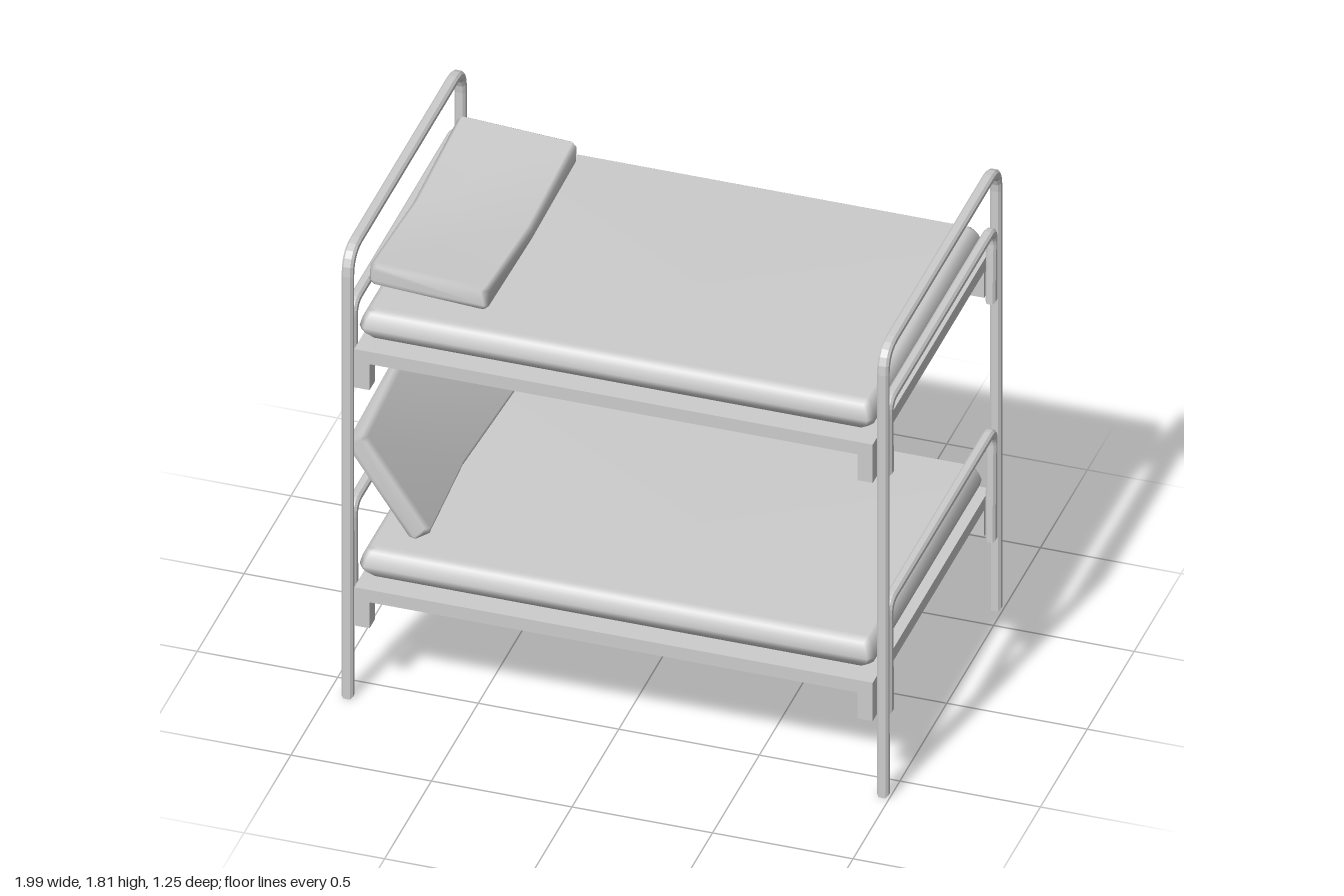
import * as THREE from 'three';

// Rectangle with cut corners, counter-clockwise, at height z
function ring(hw, hh, c, z, topDip = 0, bottomDip = 0) {
  return [
    [hw, -hh + c], [hw, hh - c], [hw - c, hh], [-hw + c, hh],
    [-hw, hh - c], [-hw, -hh + c], [-hw + c, -hh], [hw - c, -hh],
  ].map(([x, y]) => [x, y - (y > 0 ? topDip : bottomDip), z]);
}

// Smooth closed body through a series of rings running along +z
function loft(rings) {
  const n = rings[0].length, index = [], last = (rings.length - 1) * n;
  for (let i = 0; i < rings.length - 1; i++) {
    for (let j = 0; j < n; j++) {
      const a = i * n + j, b = i * n + (j + 1) % n;
      index.push(a, b, b + n, a, b + n, a + n);
    }
  }
  for (let j = 1; j < n - 1; j++) {
    index.push(0, j + 1, j, last, last + j, last + j + 1);
  }
  const g = new THREE.BufferGeometry();
  g.setAttribute('position', new THREE.Float32BufferAttribute(rings.flat(2), 3));
  g.setIndex(index);
  g.computeVertexNormals();
  return g;
}

// Upside-down U bar in the z/y plane, chamfered, centred on x = 0
function hoop(bottom, top, half, bar, footBar, radius, depth) {
  const s = new THREE.Shape(), inner = half - bar, r = radius - bar * 0.6;
  s.moveTo(half, bottom);
  s.lineTo(half, top - radius);
  s.quadraticCurveTo(half, top, half - radius, top);
  s.lineTo(-half + radius, top);
  s.quadraticCurveTo(-half, top, -half, top - radius);
  s.lineTo(-half, bottom);
  s.lineTo(-half + footBar, bottom);
  s.lineTo(-inner, top - bar - r);
  s.quadraticCurveTo(-inner, top - bar, -inner + r, top - bar);
  s.lineTo(inner - r, top - bar);
  s.quadraticCurveTo(inner, top - bar, inner, top - bar - r);
  s.lineTo(half - footBar, bottom);
  s.closePath();
  const bevel = 0.008;
  const g = new THREE.ExtrudeGeometry(s, {
    depth: depth - 2 * bevel, bevelEnabled: true, bevelSize: bevel, bevelThickness: bevel,
    bevelOffset: -bevel, bevelSegments: 1, curveSegments: 5,
  });
  g.translate(0, 0, bevel - depth / 2);
  g.rotateY(Math.PI / 2);
  return g;
}

export function createModel() {
  const model = new THREE.Group();
  model.name = 'bunkBed';
  const grey = new THREE.MeshStandardMaterial({ color: 0xcccccc });
  grey.name = 'light grey';

  function add(name, geometry, x, y, z, parent = model) {
    const mesh = new THREE.Mesh(geometry, grey);
    mesh.name = name;
    mesh.position.set(x, y, z);
    parent.add(mesh);
    return mesh;
  }

  // Tall end frames
  const ends = [-0.93, 0.975];
  for (const x of ends) add('endFrame', hoop(0, 1.81, 0.617, 0.03, 0.032, 0.1, 0.04), x, 0, 0);

  // Mattress: flat top and bottom with bulging sides
  const mattress = loft([[0, 0.03], [0.03, 0.005], [0.05, 0], [0.08, 0.008], [0.1, 0.02], [0.11, 0.035]]
    .map(([h, inset]) => ring(0.916 - inset, 0.592 - inset, 0.02, h)));
  mattress.rotateX(-Math.PI / 2);

  // Two bunks: base slab, corner brackets, low rails at both ends, mattress
  const bunks = [
    { name: 'lowerBunk', y: 0.31, railHeight: 0.46 },
    { name: 'upperBunk', y: 1.275, railHeight: 0.308 },
  ];
  for (const { name, y, railHeight } of bunks) {
    const bunk = new THREE.Group();
    bunk.name = name;
    bunk.position.y = y;
    model.add(bunk);
    add('base', new THREE.BoxGeometry(1.845, 0.05, 1.25), 0.0225, 0.13, 0, bunk);
    for (const x of [-0.8725, 0.9175]) {
      for (const z of [-0.595, 0.595]) {
        add('cornerBracket', new THREE.BoxGeometry(0.055, 0.105, 0.06), x, 0.0525, z, bunk);
      }
    }
    for (const x of ends) {
      add('lowEndRail', hoop(0, railHeight, 0.572, 0.03, 0.04, 0.06, 0.036), x, 0, 0, bunk);
    }
    add('mattress', mattress, 0.018, 0.172, 0, bunk);
  }

  // Pillows, sagging across the middle
  const pillow = loft([
    ring(0.2, 0.035, 0.015, -0.482), ring(0.212, 0.046, 0.016, -0.465),
    ring(0.212, 0.046, 0.016, 0, 0.045, 0.018),
    ring(0.212, 0.046, 0.016, 0.465), ring(0.2, 0.035, 0.015, 0.482),
  ]);
  add('upperPillow', pillow, -0.685, 1.633, 0).rotation.z = -0.055;
  add('lowerPillow', pillow, -0.83, 0.787, 0).rotation.z = -0.97;

  return model;
}
